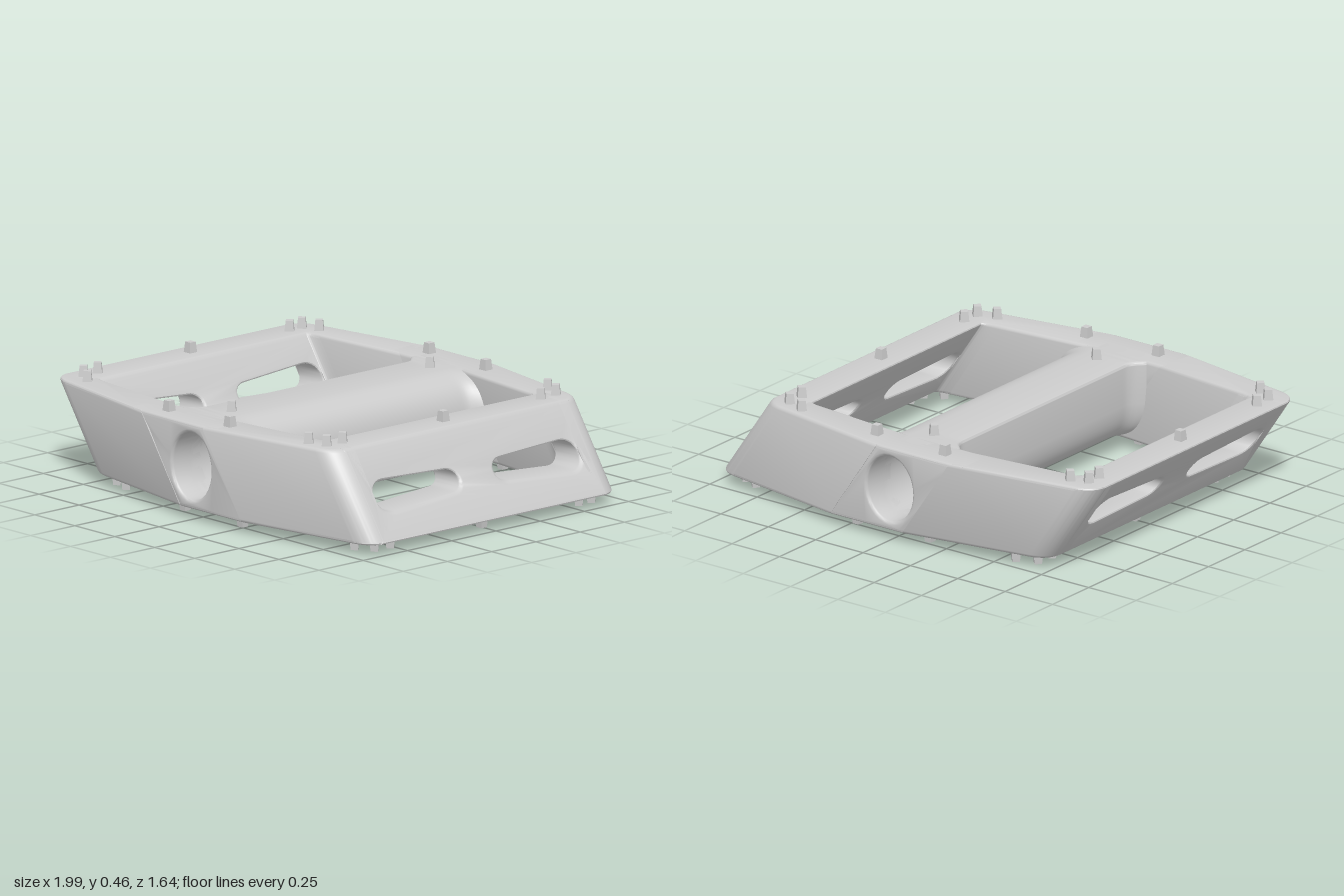
import * as THREE from 'three';
import { toCreasedNormals } from 'three/addons/utils/BufferGeometryUtils.js';

const BOTTOM = 0.045, TOP = 0.415, MID = 0.23, HEIGHT = TOP - BOTTOM;
const LEAN = 0.676;   // sideways slant of the frame per unit of height
const BEVEL = 0.015;
const BORE_X = 0.12, BORE_Y = 0.145;

const metal = new THREE.MeshStandardMaterial({ color: 0xcccccc });
const pinMetal = new THREE.MeshStandardMaterial({ color: 0xcccccc, flatShading: true });

// Moves every vertex by a rule
function deform(geometry, rule) {
  const pos = geometry.attributes.position, v = new THREE.Vector3();
  for (let i = 0; i < pos.count; i++) {
    rule(v.fromBufferAttribute(pos, i));
    pos.setXYZ(i, v.x, v.y, v.z);
  }
  return geometry;
}

const slant = (v) => { v.x -= LEAN * (v.y - MID); };

function part(name, geometry) {
  const mesh = new THREE.Mesh(toCreasedNormals(geometry, 0.6), metal);
  mesh.name = name;
  return mesh;
}

// Extrusion whose rounded edges stay inside the given depth
function slab(shape, depth) {
  const geometry = new THREE.ExtrudeGeometry(shape, {
    depth: depth - 2 * BEVEL, curveSegments: 16, bevelSegments: 3,
    bevelSize: BEVEL, bevelOffset: -BEVEL, bevelThickness: BEVEL,
  });
  return geometry.translate(0, 0, BEVEL);
}

function borePath() {
  return new THREE.Path().absellipse(0, MID, BORE_X, BORE_Y, 0, Math.PI * 2, true);
}

// Corner of the frame: plan outline extruded upward, then slanted
function cornerArm(side) {
  const s = new THREE.Shape();
  const z = (value) => -side * value;
  s.moveTo(0.19, z(0.82));
  s.lineTo(0.78, z(0.718));
  s.quadraticCurveTo(0.868, z(0.7), 0.875, z(0.62));
  s.lineTo(0.875, z(0.578));
  s.lineTo(0.705, z(0.578));
  s.quadraticCurveTo(0.70, z(0.59), 0.64, z(0.595));
  s.lineTo(0.19, z(0.64));
  s.closePath();
  const geometry = slab(s, HEIGHT).rotateX(-Math.PI / 2).translate(0, BOTTOM, 0);
  return part('cornerArm', deform(geometry, slant));
}

// End wall with two tapered slots
function endWall() {
  const s = new THREE.Shape();
  s.moveTo(-0.64, BOTTOM);
  s.lineTo(0.64, BOTTOM);
  s.lineTo(0.64, TOP);
  s.lineTo(-0.64, TOP);
  s.closePath();
  for (const m of [-1, 1]) {
    const slot = new THREE.Path();
    slot.moveTo(m * 0.16, 0.175);
    slot.lineTo(m * 0.5, 0.155);
    slot.bezierCurveTo(m * 0.6, 0.155, m * 0.6, 0.275, m * 0.5, 0.275);
    slot.lineTo(m * 0.16, 0.262);
    slot.bezierCurveTo(m * 0.08, 0.262, m * 0.08, 0.175, m * 0.16, 0.175);
    s.holes.push(slot);
  }
  const geometry = slab(s, 0.17).rotateY(Math.PI / 2).translate(0.705, 0, 0);
  return part('endWall', deform(geometry, slant));
}

// Panel around the axle opening at the front or back of the frame
function axlePanel(side) {
  const s = new THREE.Shape();
  const at = (u, y) => new THREE.Vector2(u - LEAN * (y - MID), y);
  const stops = [-0.26, -0.18, 0, 0.18, 0.26];
  s.setFromPoints([
    ...stops.map((u) => at(u, BOTTOM)),
    ...stops.map((u) => at(-u, TOP)),
  ]);
  s.holes.push(borePath());
  const geometry = slab(s, 0.18).translate(0, 0, side > 0 ? 0.64 : -0.82);
  deform(geometry, (v) => {
    const u = v.x + LEAN * (v.y - MID);
    if (Math.abs(v.z) > 0.73) v.z -= side * Math.max(0, Math.abs(u) - 0.18) * 0.17;
  });
  return part('axlePanel', geometry);
}

// Hollow centre beam that flares where it meets the frame
function axleBeam() {
  const s = new THREE.Shape();
  s.moveTo(-0.17, TOP);
  s.quadraticCurveTo(-0.19, TOP, -0.19, TOP - 0.02);
  s.lineTo(-0.19, 0.23);
  s.quadraticCurveTo(-0.18, BOTTOM + 0.01, -0.02, BOTTOM);
  s.lineTo(0.17, BOTTOM);
  s.quadraticCurveTo(0.19, BOTTOM, 0.19, BOTTOM + 0.02);
  s.lineTo(0.19, 0.23);
  s.quadraticCurveTo(0.18, TOP - 0.01, 0.02, TOP);
  s.closePath();
  s.holes.push(borePath());
  const geometry = new THREE.ExtrudeGeometry(s, {
    depth: 1.44, steps: 80, curveSegments: 16, bevelEnabled: false,
  }).translate(0, 0, -0.72);
  deform(geometry, (v) => {
    const inBore = (v.x / BORE_X) ** 2 + ((v.y - MID) / BORE_Y) ** 2 < 1.05;
    const t = THREE.MathUtils.clamp((Math.abs(v.z) - 0.56) / 0.08, 0, 1);
    if (!inBore) v.x *= 1 + 0.3 * t * t;
  });
  return part('axleBeam', geometry);
}

// Grip pins of one face: x, z, and whether the pin is turned square to the frame
const PINS = [
  [-0.905, -0.555], [-0.905, -0.625], [-0.83, -0.655],
  [-0.915, 0.52], [-0.91, 0.605], [-0.835, 0.65],
  [-0.91, 0, true], [0.67, 0, true],
  [-0.23, -0.735, true], [-0.23, 0.735, true],
  [0.14, -0.72, true], [0.14, 0.725, true],
  [-0.05, -0.575], [-0.05, 0.545],
  [0.565, -0.685], [0.655, -0.65], [0.66, -0.56],
  [0.57, 0.67], [0.655, 0.645], [0.66, 0.56],
];

function gripPins() {
  const group = new THREE.Group();
  group.name = 'gripPins';
  const geometry = new THREE.CylinderGeometry(0.022, 0.029, 0.05, 4);
  for (const [x, z, square] of PINS) {
    const pin = new THREE.Mesh(geometry, pinMetal);
    pin.name = 'gripPin';
    pin.position.set(x, TOP + 0.02, z);
    if (square) pin.rotation.y = Math.PI / 4;
    group.add(pin);
  }
  return group;
}

export function createModel() {
  const model = new THREE.Group();
  model.name = 'pedal';
  model.add(axleBeam(), axlePanel(1), axlePanel(-1));

  // One end of the frame with one face of pins
  const half = new THREE.Group();
  half.name = 'leftHalf';
  half.add(cornerArm(1), cornerArm(-1), endWall(), gripPins());

  // The other half is the same, turned over about the axle
  const other = half.clone();
  other.name = 'rightHalf';
  other.rotation.z = Math.PI;
  other.position.y = 2 * MID;
  model.add(half, other);
  return model;
}
